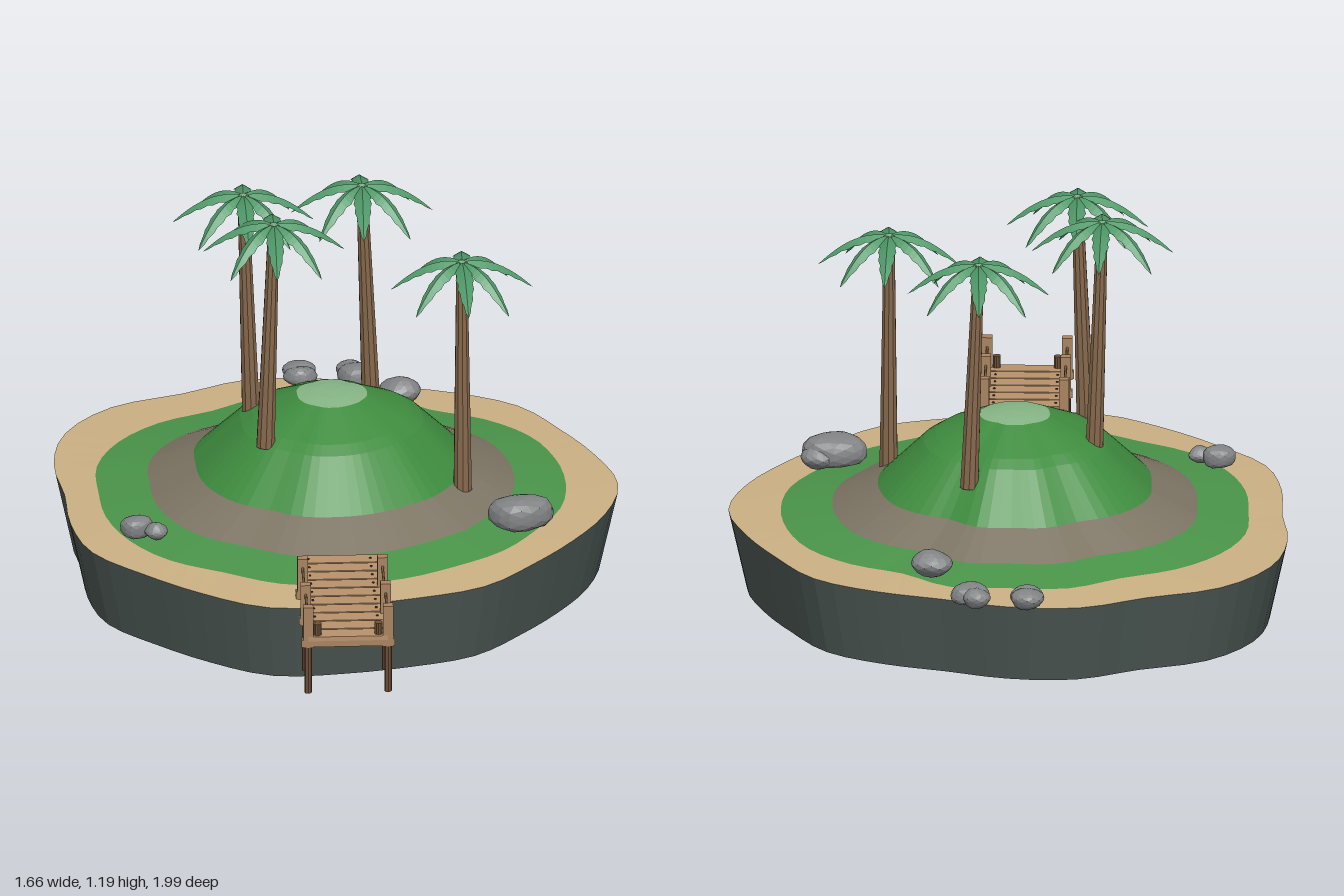
import * as THREE from 'three';

const mat = (color, side = THREE.FrontSide) =>
  new THREE.MeshStandardMaterial({ color, side, flatShading: true });
const TWO = THREE.DoubleSide;
const M = {
  wall: mat(0x4c5854, TWO), sand: mat(0xcbb083, TWO), grass: mat(0x4a944a, TWO),
  path: mat(0x7d7564, TWO), hill: mat(0x3f8c3f, TWO), cap: mat(0x86b586, TWO),
  trunk: mat(0x86684c), frond: mat(0x4f9868, TWO), rib: mat(0x6fae80),
  stone: mat(0x808284), plank: mat(0xb8926c), post: mat(0xa98460),
  pile: mat(0x6e5039), rope: mat(0x8a6f4c), nail: mat(0x4a4038),
};

function add(parent, name, geometry, material, x = 0, y = 0, z = 0) {
  const mesh = new THREE.Mesh(geometry, material);
  mesh.name = name;
  mesh.position.set(x, y, z);
  parent.add(mesh);
  return mesh;
}

function fromTriangles(points) {
  const g = new THREE.BufferGeometry();
  g.setAttribute('position', new THREE.Float32BufferAttribute(points.flat(), 3));
  g.computeVertexNormals();
  return g;
}

// Shore and lawn radii every 15 degrees, in hundredths of a unit, from +x towards +z
const SHORE = [84.5, 82.5, 80, 80, 83, 82, 83.5, 87, 84, 82.5, 84, 81,
  79, 84, 88.5, 88, 82, 83, 80, 76.5, 78.5, 81.5, 80, 81.5];
const LAWN = [69, 69, 67.5, 68, 67.5, 69, 70, 71, 69, 71, 71, 70,
  69, 71, 71, 69, 65.5, 68, 66, 67.5, 63, 66.5, 69, 69];
const CX = -0.015, CZ = -0.155, SEGMENTS = 72;

// Smooth closed interpolation of a radius list
function radiusAt(list, u) {
  const n = list.length, f = u * n, i = Math.floor(f), t = f - i;
  const [a, b, c, d] = [-1, 0, 1, 2].map(k => list[(i + k + n) % n]);
  return 0.005 * (2 * b + (c - a) * t + (2 * a - 5 * b + 4 * c - d) * t * t
    + (3 * b - a - 3 * c + d) * t * t * t);
}

function ring(list, scale, y) {
  return Array.from({ length: SEGMENTS + 1 }, (_, i) => {
    const u = (i % SEGMENTS) / SEGMENTS, a = u * Math.PI * 2;
    const r = radiusAt(list, u) * scale;
    return [CX + r * Math.cos(a), y, CZ + r * Math.sin(a)];
  });
}

// Band of terrain through successive rings, from inside to outside
function band(rings) {
  const p = [];
  for (let k = 0; k < rings.length - 1; k++) {
    const a = rings[k], b = rings[k + 1];
    for (let i = 0; i < SEGMENTS; i++)
      p.push(a[i], a[i + 1], b[i], a[i + 1], b[i + 1], b[i]);
  }
  return fromTriangles(p);
}

function buildIsland() {
  const g = new THREE.Group();
  g.name = 'island';
  const shore = ring(SHORE, 1, 0.245), lawn = ring(LAWN, 1, 0.252);
  const pathOuter = ring(LAWN, 0.78, 0.275), pathInner = ring(LAWN, 0.585, 0.34);
  const top = ring(LAWN, 0.15, 0.557);
  add(g, 'cliffWall', band([shore, ring(SHORE, 0.935, 0)]), M.wall);
  add(g, 'beach', band([lawn, shore]), M.sand);
  add(g, 'lowerGrass', band([pathOuter, lawn]), M.grass);
  add(g, 'earthBand', band([pathInner, pathOuter]), M.path);
  add(g, 'hill', band([top, ring(LAWN, 0.34, 0.497), ring(LAWN, 0.39, 0.475), pathInner]), M.hill);
  add(g, 'hilltop', band([ring(LAWN, 0, 0.568), ring(LAWN, 0.08, 0.565), top]), M.cap);
  return g;
}

// Drooping leaf with a raised midrib and notched edges
function frondGeometry(length, droop) {
  const n = 12, p = [], s = [];
  for (let i = 0; i <= n; i++) {
    const t = i / n;
    const w = 0.027 * Math.pow(Math.sin(Math.PI * Math.pow(0.05 + 0.95 * t, 0.8)), 0.75) * (i % 2 ? 1 : 0.84);
    const x = length * t, y = 0.012 * Math.sin(t * 3.1) - droop * Math.pow(t, 1.9);
    s.push([[x, y - w * 0.6, w], [x, y, 0], [x, y - w * 0.6, -w]]);
  }
  for (let i = 0; i < n; i++)
    for (let k = 0; k < 2; k++) {
      const a = s[i][k], b = s[i + 1][k], c = s[i + 1][k + 1], d = s[i][k + 1];
      p.push(a, b, c, a, c, d);
    }
  return fromTriangles(p);
}

function buildPalm(base, top) {
  const g = new THREE.Group();
  g.name = 'palm';
  const a = new THREE.Vector3(...base), b = new THREE.Vector3(...top);
  const dir = b.clone().sub(a);
  const trunk = add(g, 'trunk', new THREE.CylinderGeometry(0.017, 0.028, dir.length(), 10, 6), M.trunk);
  trunk.position.copy(a).lerp(b, 0.5);
  trunk.quaternion.setFromUnitVectors(new THREE.Vector3(0, 1, 0), dir.normalize());
  const crown = new THREE.Group();
  crown.name = 'crown';
  crown.position.copy(b);
  for (let i = 0; i < 8; i++) {
    const long = i % 2 === 0;
    const leaf = add(crown, 'frond', frondGeometry(long ? 0.21 : 0.2, long ? 0.09 : 0.115), M.frond);
    leaf.rotation.y = i * Math.PI / 4 + 0.06 * Math.sin(i * 2.3 + base[0] * 20);
  }
  add(crown, 'crownHub', new THREE.IcosahedronGeometry(0.018, 1), M.rib, 0, -0.012, 0);
  g.add(crown);
  return g;
}

// Faceted boulder, roughened by a rule on vertex position
function stoneGeometry(seed) {
  const g = new THREE.IcosahedronGeometry(1, 2), p = g.attributes.position;
  const v = new THREE.Vector3();
  for (let i = 0; i < p.count; i++) {
    v.fromBufferAttribute(p, i);
    v.multiplyScalar(0.96 + 0.08 * Math.sin(3.1 * v.x + seed) * Math.cos(2.7 * v.z - seed) + 0.04 * Math.sin(5 * v.y + seed * 2));
    p.setXYZ(i, v.x, v.y, v.z);
  }
  g.computeVertexNormals();
  return g;
}

function buildDock() {
  const g = new THREE.Group();
  g.name = 'dock';
  const mid = -0.022, sides = [-0.118, 0.118], frames = [0.43, 0.625, 0.815, 0.975];
  // Deck boards with nails
  for (let i = 0; i < 10; i++) {
    const z = 0.43 + i * 0.0592;
    add(g, 'plank', new THREE.BoxGeometry(0.235, 0.014, 0.053), M.plank, mid, 0.277, z);
    for (const s of [-0.092, 0.092])
      add(g, 'nail', new THREE.CylinderGeometry(0.004, 0.004, 0.004, 6), M.nail, mid + s, 0.285, z);
  }
  // Cross beams, piles and rail posts
  frames.forEach((z, k) => {
    add(g, 'crossBeam', new THREE.BoxGeometry(k ? 0.275 : 0.23, 0.022, 0.022), M.post, mid, 0.261, z);
    for (const s of sides) {
      const x = mid + s * (k ? 1 : 0.9);
      add(g, 'pile', new THREE.CylinderGeometry(0.011, 0.011, 0.16, 8), M.pile, x, 0.18, z);
      if (k) add(g, 'railPost', new THREE.BoxGeometry(0.03, 0.13, 0.026), M.post, x, 0.313, z);
    }
  });
  // Sagging ropes between the rail posts
  for (const s of sides)
    for (let k = 1; k < 3; k++) {
      const x = mid + s, z0 = frames[k], z1 = frames[k + 1];
      const curve = new THREE.QuadraticBezierCurve3(new THREE.Vector3(x, 0.352, z0),
        new THREE.Vector3(x, 0.322, (z0 + z1) / 2), new THREE.Vector3(x, 0.352, z1));
      add(g, 'rope', new THREE.TubeGeometry(curve, 10, 0.004, 6), M.rope);
    }
  // Mooring bollards at the end
  for (const s of [-0.09, 0.09])
    add(g, 'bollard', new THREE.CylinderGeometry(0.012, 0.012, 0.036, 10), M.pile, mid + s, 0.302, 0.97);
  return g;
}

export function createModel() {
  const model = new THREE.Group();
  model.name = 'palmIsland';
  model.add(buildIsland(), buildDock());
  // Trunk foot and crown centre of each palm
  const palms = [
    [[0.112, 0.42, -0.415], [0.085, 1.115, -0.405]],
    [[-0.25, 0.42, -0.215], [-0.275, 1.18, -0.207]],
    [[-0.22, 0.47, 0.022], [-0.195, 1.18, 0.01]],
    [[0.362, 0.32, 0.025], [0.36, 1.05, 0.015]],
  ];
  for (const [foot, top] of palms) model.add(buildPalm(foot, top));
  // Boulders: x, y, z and half sizes
  const stones = [
    [-0.075, 0.272, -0.955, 0.052, 0.032, 0.044], [-0.072, 0.27, -0.92, 0.052, 0.03, 0.032],
    [0.075, 0.272, -0.955, 0.043, 0.032, 0.036], [0.095, 0.272, -0.922, 0.06, 0.035, 0.05],
    [0.213, 0.3, -0.738, 0.065, 0.042, 0.055],
    [0.525, 0.31, 0.18, 0.1, 0.055, 0.07], [0.575, 0.3, 0.16, 0.052, 0.042, 0.055],
    [-0.61, 0.296, 0.197, 0.05, 0.037, 0.04], [-0.553, 0.292, 0.222, 0.037, 0.027, 0.03],
  ];
  stones.forEach(([x, y, z, a, b, c], i) =>
    add(model, 'boulder', stoneGeometry(i * 1.7), M.stone, x, y, z).scale.set(a, b, c));
  return model;
}
